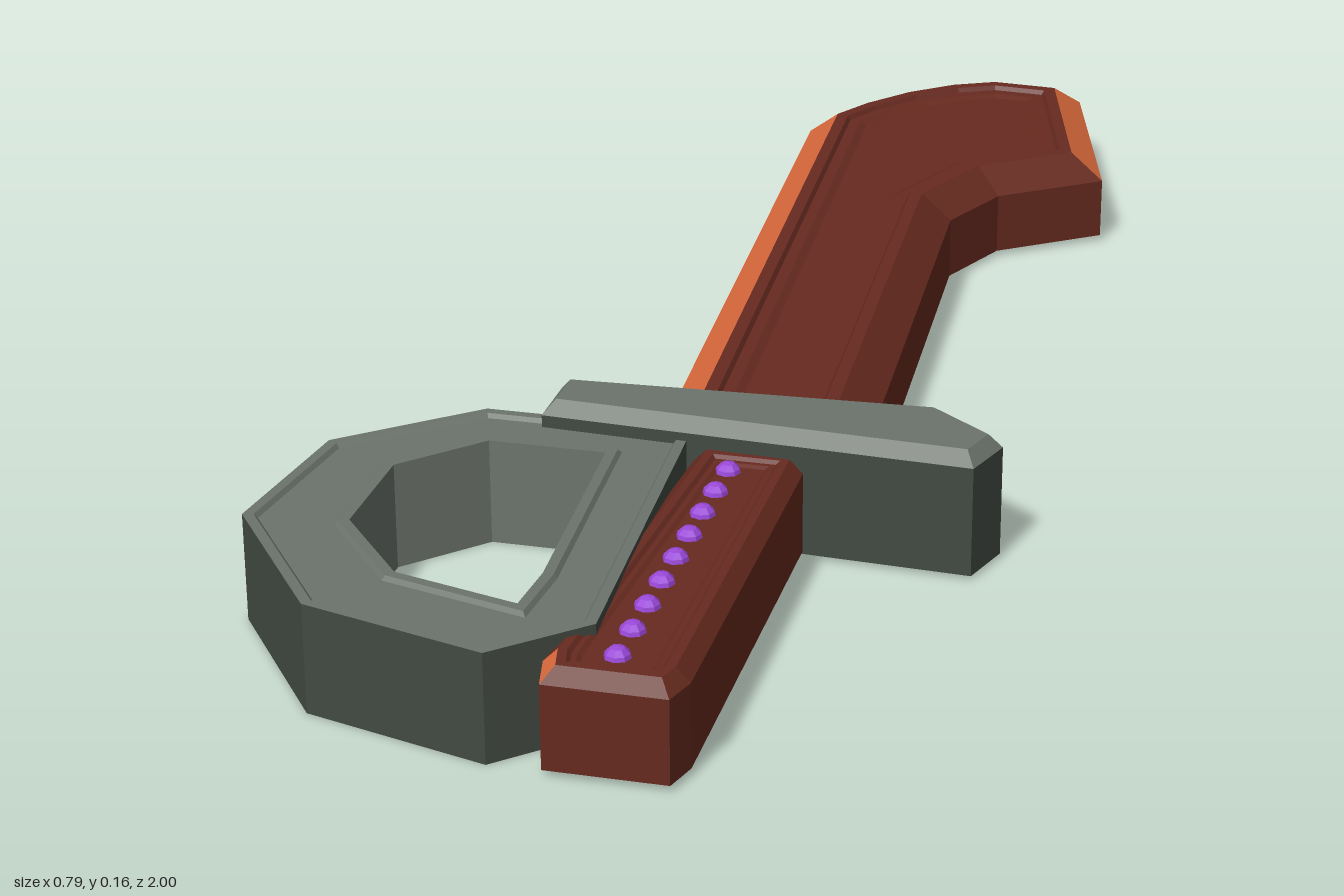
import * as THREE from 'three';

const mat = (name, color) => {
  const m = new THREE.MeshStandardMaterial({ color, flatShading: true });
  m.name = name;
  return m;
};

// Offset a closed outline of [x, z] points inward (clockwise seen from above).
function inset(pts, d) {
  const n = pts.length;
  const normal = (a, b) => {
    const dx = b[0] - a[0], dz = b[1] - a[1], l = Math.hypot(dx, dz);
    return [-dz / l, dx / l];
  };
  return pts.map((p, i) => {
    const a = normal(pts[(i + n - 1) % n], p), b = normal(p, pts[(i + 1) % n]);
    const k = d / (1 + a[0] * b[0] + a[1] * b[1]);
    return [p[0] + (a[0] + b[0]) * k, p[1] + (a[1] + b[1]) * k];
  });
}

// Skin a stack of rings { pts, y }. pick(step, edge) returns a material index;
// capped stacks get a bottom (step -1) and a top (step = ring count).
function loft(rings, materials, pick, capped = true) {
  const buckets = materials.map(() => []);
  const v = (r, i) => [r.pts[i % r.pts.length][0], r.y, r.pts[i % r.pts.length][1]];
  for (let s = 0; s < rings.length - 1; s++) {
    const lo = rings[s], hi = rings[s + 1];
    for (let i = 0; i < lo.pts.length; i++) {
      const a = v(lo, i), b = v(lo, i + 1), c = v(hi, i + 1), d = v(hi, i);
      buckets[pick(s, i)].push(...a, ...d, ...c, ...a, ...c, ...b);
    }
  }
  const cap = (ring, up, bucket) => {
    const flat = ring.pts.map((p) => new THREE.Vector2(p[0], p[1]));
    for (const [i, j, k] of THREE.ShapeUtils.triangulateShape(flat, [])) {
      const cross = flat[j].clone().sub(flat[i]).cross(flat[k].clone().sub(flat[i]));
      const order = (cross < 0) === up ? [i, j, k] : [i, k, j];
      order.forEach((q) => bucket.push(...v(ring, q)));
    }
  };
  if (capped) {
    cap(rings[0], false, buckets[pick(-1, 0)]);
    cap(rings[rings.length - 1], true, buckets[pick(rings.length, 0)]);
  }
  const geo = new THREE.BufferGeometry();
  geo.setAttribute('position', new THREE.Float32BufferAttribute(buckets.flat(), 3));
  let start = 0;
  buckets.forEach((b, m) => {
    if (b.length) geo.addGroup(start, b.length / 3, m);
    start += b.length / 3;
  });
  geo.computeVertexNormals();
  return new THREE.Mesh(geo, materials);
}

// Bevelled slab with a stepped, sunken panel on top.
function panelled(pts, base, shoulder, top, insets, depth) {
  const [bevel, rim, step, panel] = insets;
  return [
    { pts, y: base },
    { pts, y: shoulder },
    { pts: inset(pts, bevel), y: top },
    { pts: inset(pts, rim), y: top },
    { pts: inset(pts, rim + 0.004), y: top - depth },
    { pts: inset(pts, step), y: top - depth },
    { pts: inset(pts, panel), y: top - depth * 1.7 },
  ];
}

export function createModel() {
  const group = new THREE.Group();
  const brown = mat('wood brown', 0x662a1f);
  const orange = mat('edge orange', 0xdc6a3c);
  const grey = mat('guard grey', 0x6c736c);
  const darkGrey = mat('guard side dark grey', 0x424942);
  const purple = mat('stud purple', 0x9a48d8);
  const add = (name, mesh) => {
    mesh.name = name;
    group.add(mesh);
  };

  // Blade: orange bevel along the cutting edge and tip
  const blade = [
    [-0.026, 0.352], [-0.095, -0.767], [-0.055, -0.84], [0, -0.91], [0.065, -0.965],
    [0.137, -1], [0.27, -0.99], [0.354, -0.656], [0.222, -0.56], [0.175, -0.45], [0.222, 0.352],
  ];
  add('blade', loft(
    panelled(blade, 0.008, 0.09, 0.123, [0.042, 0.058, 0.077, 0.087], 0.006),
    [brown, orange], (s, i) => (s === 1 && i < 7 ? 1 : 0)));

  // Handle
  const handle = [
    [0.042, 0.42], [0.172, 0.42], [0.175, 0.96], [0.163, 1], [0.026, 1], [0.015, 0.95],
  ];
  add('handle', loft(
    panelled(handle, 0.008, 0.107, 0.123, [0.016, 0.026, 0.036, 0.041], 0.004),
    [brown, orange], (s, i) => (s === 1 && i === 4 ? 1 : 0)));

  // Row of studs down the handle
  const studGeo = new THREE.SphereGeometry(0.016, 8, 6);
  for (let i = 0; i < 9; i++) {
    const stud = new THREE.Mesh(studGeo, purple);
    stud.position.set(0.092, 0.113, 0.475 + i * 0.058);
    add('stud', stud);
  }

  // Crossguard: dark sides and underside, lighter bevelled top
  const guard = [[-0.145, 0.34], [0.307, 0.317], [0.394, 0.386], [0.372, 0.452], [-0.145, 0.425]];
  add('crossguard', loft([
    { pts: guard, y: 0.005 },
    { pts: guard, y: 0.14 },
    { pts: inset(guard, 0.014), y: 0.157 },
  ], [grey, darkGrey], (s) => (s < 1 ? 1 : 0)));

  // Knuckle guard: faceted loop with a slightly sunken top, dark outside and below
  const outer = [
    [0.03, 0.4], [0.058, 0.9], [-0.037, 0.99], [-0.255, 0.93], [-0.395, 0.74], [-0.37, 0.53], [-0.22, 0.4],
  ];
  const inner = [
    [-0.05, 0.487], [-0.03, 0.8], [-0.035, 0.875], [-0.185, 0.835], [-0.275, 0.725], [-0.275, 0.577], [-0.19, 0.487],
  ];
  add('knuckleGuard', loft([
    { pts: outer, y: 0 },
    { pts: outer, y: 0.13 },
    { pts: inset(outer, 0.012), y: 0.13 },
    { pts: inset(outer, 0.016), y: 0.125 },
    { pts: inset(inner, -0.016), y: 0.125 },
    { pts: inset(inner, -0.012), y: 0.13 },
    { pts: inner, y: 0.13 },
    { pts: inner, y: 0 },
    { pts: outer, y: 0 },
  ], [grey, darkGrey], (s) => (s === 0 || s === 7 ? 1 : 0), false));

  return group;
}
